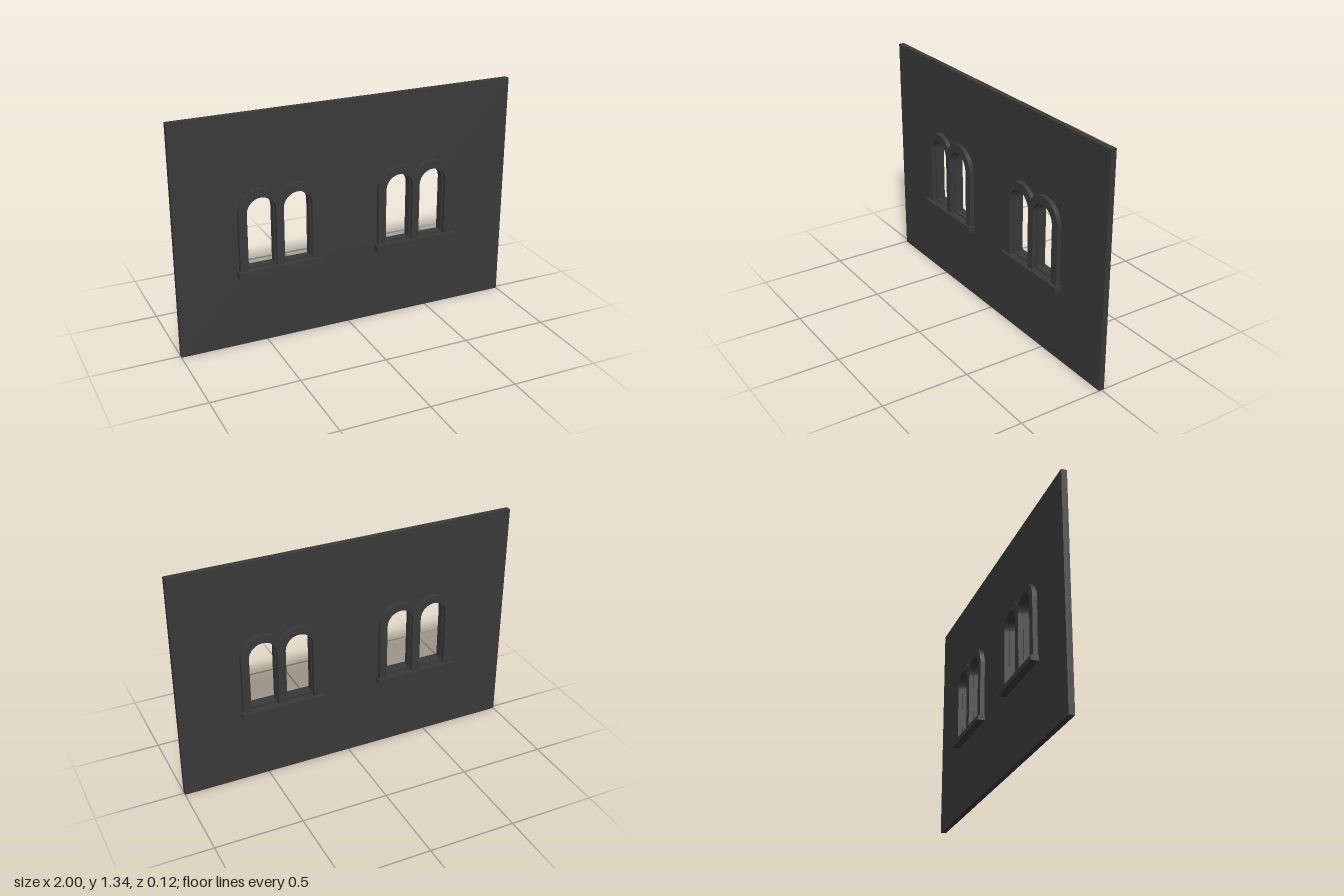
import * as THREE from 'three';

const WALL_H = 1.335, WALL_HALF = 0.016;
const WINDOWS = [-0.415, 0.409];  // window centres along x
const SPACING = 0.105;            // half the distance between the twin lights
const SPRING = 0.786;             // height where the arches begin
const material = new THREE.MeshStandardMaterial({ color: 0x3a3a3a });

// Round-headed opening
function archHole(x, r, bottom, spring) {
  const p = new THREE.Path();
  p.moveTo(x - r, bottom);
  p.lineTo(x + r, bottom);
  p.lineTo(x + r, spring);
  p.absarc(x, spring, r, 0, Math.PI, false);
  p.closePath();
  return p;
}

// Twin-arched surround, with its two openings
function surroundShape(outer, inner, spring, bottom) {
  const a = Math.acos(-SPACING / outer);
  const s = new THREE.Shape();
  s.moveTo(-SPACING - outer, bottom);
  s.lineTo(SPACING + outer, bottom);
  s.lineTo(SPACING + outer, spring);
  s.absarc(SPACING, spring, outer, 0, a, false);
  s.absarc(-SPACING, spring, outer, Math.PI - a, Math.PI, false);
  s.closePath();
  for (const side of [-1, 1]) s.holes.push(archHole(side * SPACING, inner, bottom + 0.006, spring));
  return s;
}

function extrude(name, shape, z0, z1) {
  const geo = new THREE.ExtrudeGeometry(shape, { depth: z1 - z0, bevelEnabled: false, curveSegments: 16 });
  geo.translate(0, 0, z0);
  const mesh = new THREE.Mesh(geo, material);
  mesh.name = name;
  return mesh;
}

function sill(name, width, y0, y1, z0, z1) {
  const mesh = new THREE.Mesh(new THREE.BoxGeometry(width, y1 - y0, z1 - z0), material);
  mesh.position.set(0, (y0 + y1) / 2, (z0 + z1) / 2);
  mesh.name = name;
  return mesh;
}

export function createModel() {
  const model = new THREE.Group();
  model.name = 'wallWithWindows';

  // Wall slab pierced by four arched lights
  const wall = new THREE.Shape();
  wall.moveTo(-1, 0);
  wall.lineTo(1, 0);
  wall.lineTo(1, WALL_H);
  wall.lineTo(-1, WALL_H);
  wall.closePath();
  for (const x of WINDOWS)
    for (const side of [-1, 1]) wall.holes.push(archHole(x + side * SPACING, 0.076, 0.465, SPRING));
  model.add(extrude('wall', wall, -WALL_HALF, WALL_HALF));

  // Surrounds and sills on both faces, the back ones slightly smaller
  for (const x of WINDOWS) {
    const win = new THREE.Group();
    win.name = x < 0 ? 'rightWindow' : 'leftWindow';
    win.position.x = x;
    win.add(
      extrude('frontSurround', surroundShape(0.13, 0.083, SPRING, 0.445), WALL_HALF - 0.004, 0.041),
      extrude('backSurround', surroundShape(0.125, 0.081, 0.783, 0.44), -0.043, -WALL_HALF + 0.004),
      sill('frontSill', 0.494, 0.417, 0.456, WALL_HALF - 0.004, 0.058),
      sill('backSill', 0.478, 0.422, 0.45, -0.059, -WALL_HALF + 0.004),
    );
    model.add(win);
  }
  return model;
}
